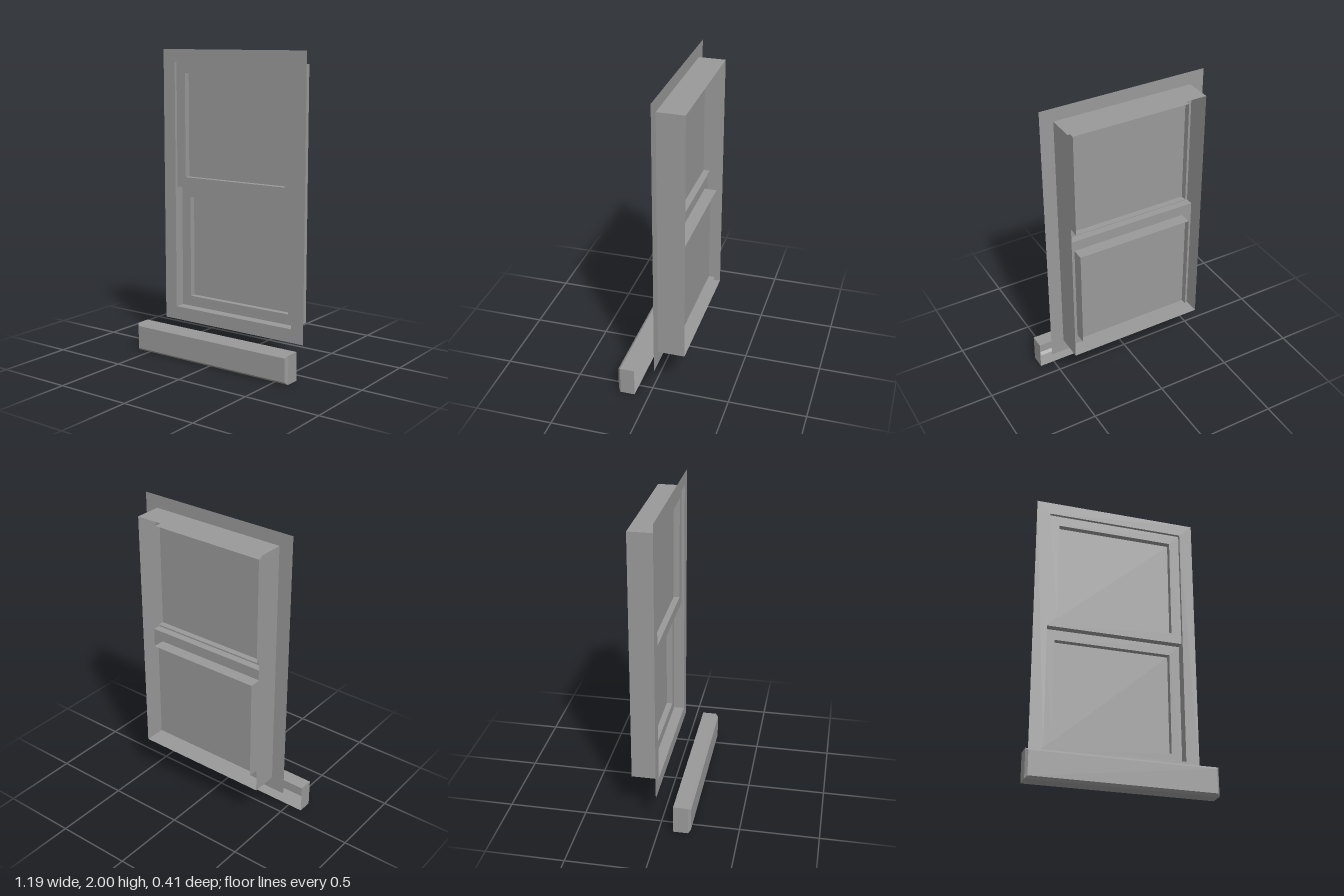
import * as THREE from 'three';

const material = new THREE.MeshStandardMaterial({
  color: 0x999999, flatShading: true, side: THREE.DoubleSide,
});

// Rectangle outline facing the front, at depth z
const rect = (x0, x1, y0, y1, z) => ({ x0, x1, y0, y1, z });
const atDepth = (r, z) => ({ ...r, z });
const corners = (r) => [
  [r.x0, r.y0, r.z], [r.x1, r.y0, r.z], [r.x1, r.y1, r.z], [r.x0, r.y1, r.z],
];

// Skins a row of rectangles, front to back; optionally caps one of them
function shell(name, rects, cap) {
  const pos = [];
  const quad = (a, b, c, d) => pos.push(...a, ...b, ...c, ...a, ...c, ...d);
  for (let k = 0; k < rects.length - 1; k++) {
    const p = corners(rects[k]), q = corners(rects[k + 1]);
    for (let i = 0; i < 4; i++) {
      const j = (i + 1) % 4;
      quad(p[i], p[j], q[j], q[i]);
    }
  }
  if (cap) quad(...corners(cap));
  const geo = new THREE.BufferGeometry();
  geo.setAttribute('position', new THREE.Float32BufferAttribute(pos, 3));
  geo.computeVertexNormals();
  const mesh = new THREE.Mesh(geo, material);
  mesh.name = name;
  return mesh;
}

// One sash: thin face, short tube around the pane, pane halfway along it
function sash(name, x0, x1, y0, y1, z) {
  const group = new THREE.Group();
  group.name = name;
  const opening = rect(x0 + 0.069, x1 - 0.069, y0 + 0.069, y1 - 0.069, z);
  group.add(
    shell(name + 'Frame', [rect(x0, x1, y0, y1, z), opening, atDepth(opening, z - 0.08)]),
    shell(name + 'Pane', [], atDepth(opening, z - 0.04)),
  );
  return group;
}

export function createModel() {
  const model = new THREE.Group();
  model.name = 'window';

  const frontZ = -0.03, backZ = -0.204;
  const upperZ = -0.05, lowerZ = -0.1;
  const x0 = -0.442, x1 = 0.477, y0 = 0.276, y1 = 1.916, midY = 1.095;

  // Flat flange around the opening, and the open box behind it
  const opening = rect(x0, x1, y0, y1, frontZ);
  model.add(
    shell('flange', [rect(-0.534, 0.565, 0.188, 2, frontZ), opening]),
    shell('casing', [opening, atDepth(opening, backZ)]),
  );

  // Two sashes at different depths, joined by a ledge
  model.add(sash('upperSash', x0, x1, midY, y1, upperZ));
  model.add(sash('lowerSash', x0, x1, y0, midY, lowerZ));
  const ledge = new THREE.Mesh(new THREE.PlaneGeometry(x1 - x0, upperZ - lowerZ), material);
  ledge.name = 'meetingLedge';
  ledge.rotation.x = -Math.PI / 2;
  ledge.position.set((x0 + x1) / 2, midY, (upperZ + lowerZ) / 2);
  model.add(ledge);

  // Hollow sill with a bevelled front, open at the back
  const face = rect(-0.583, 0.58, 0.016, 0.168, 0.203);
  const rim = rect(-0.598, 0.596, 0, 0.184, 0.186);
  model.add(shell('sill', [face, rim, atDepth(rim, 0.092)], face));

  return model;
}
